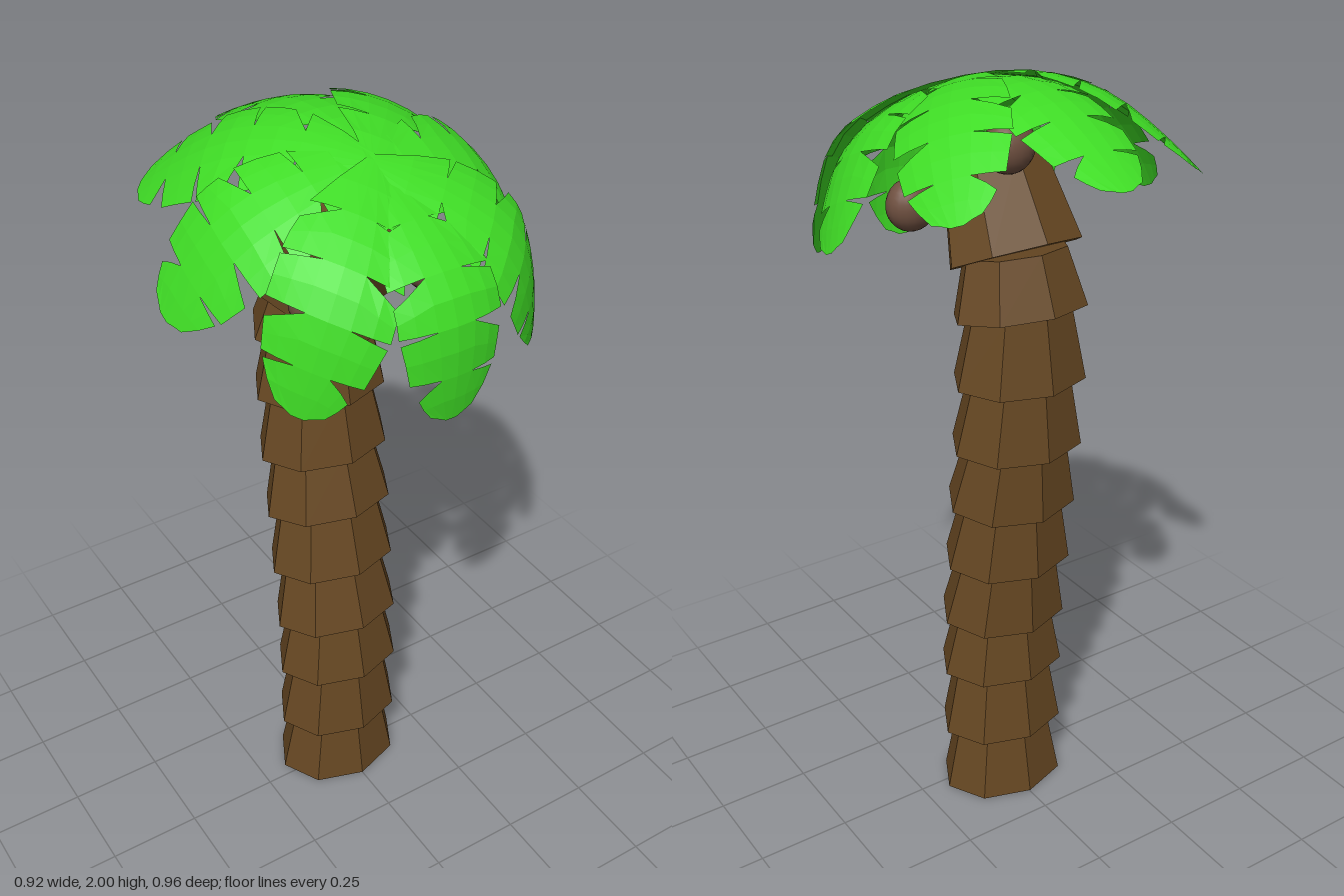
import * as THREE from 'three';

const leafGreen = new THREE.MeshStandardMaterial({ color: 0x3fdc25, side: THREE.DoubleSide });
leafGreen.name = 'leafGreen';
const barkBrown = new THREE.MeshStandardMaterial({ color: 0x664722 });
barkBrown.name = 'barkBrown';
const coconutBrown = new THREE.MeshStandardMaterial({ color: 0x6f5040 });
coconutBrown.name = 'coconutBrown';

function faceted(geometry) {
  const g = geometry.index ? geometry.toNonIndexed() : geometry;
  g.computeVertexNormals();
  return g;
}

// Trunk: flared, eight-sided rings stacked along a gently bent line of [y, z] points
function buildTrunk() {
  const trunk = new THREE.Group();
  trunk.name = 'trunk';
  const line = [[0, -0.032], [0.19, -0.03], [0.39, -0.03], [0.56, -0.037], [0.74, -0.058], [0.92, -0.076],
    [1.09, -0.098], [1.27, -0.11], [1.445, -0.112], [1.58, -0.09], [1.77, 0]];
  for (let i = 0; i < line.length - 1; i++) {
    const [y0, z0] = line[i], [y1, z1] = line[i + 1];
    const length = Math.hypot(y1 - y0, z1 - z0) + 0.01;
    const geometry = new THREE.CylinderGeometry(0.138, 0.18, length, 8);
    geometry.translate(0, length / 2, 0);
    geometry.scale(1, 1, 0.8);
    const ring = new THREE.Mesh(faceted(geometry), barkBrown);
    ring.name = 'trunkRing';
    ring.position.set(0, y0, z0);
    ring.rotation.x = Math.atan2(z1 - z0, y1 - y0);
    trunk.add(ring);
  }
  return trunk;
}

// Value at s on a polyline of [s, value] points
function sample(points, s) {
  for (let i = 1; i < points.length; i++) {
    const [a, va] = points[i - 1], [b, vb] = points[i];
    if (s <= b) return va + (vb - va) * (s - a) / (b - a);
  }
  return points[points.length - 1][1];
}

// Frond half width, and downward slope in degrees, by distance from the crown's middle
const outline = [[0, 0.02], [0.17, 0.115], [0.28, 0.145], [0.42, 0.15], [0.54, 0.125], [0.61, 0.085], [0.66, 0.045]];
const frontSlope = [[0, -4], [0.1, -2], [0.3, 16], [0.44, 59], [0.66, 78]];
const rearSlope = [[0, 6], [0.1, 12], [0.3, 34], [0.44, 48], [0.66, 56]];
const SIDE_RADIUS = 0.42;

// Point on a frond: s along it, v across it, lifted along its normal
function frondPoint(s, v, lift, frontness) {
  const slopeAt = (t) => THREE.MathUtils.degToRad(
    THREE.MathUtils.lerp(sample(rearSlope, t), sample(frontSlope, t), frontness));
  const steps = 12;
  let y = 0, z = 0;
  for (let i = 0; i < steps; i++) {
    const a = slopeAt(s * (i + 0.5) / steps);
    y -= Math.sin(a) * s / steps;
    z += Math.cos(a) * s / steps;
  }
  const a = slopeAt(s);
  const rise = lift - SIDE_RADIUS * (1 - Math.cos(v / SIDE_RADIUS));
  return [SIDE_RADIUS * Math.sin(v / SIDE_RADIUS), y + Math.cos(a) * rise, z + Math.sin(a) * rise];
}

// Frond: leaf bands joined along the middle, with slits cut in from both edges
function frondGeometry(index, frontness) {
  const bands = [0, 0.17, 0.3, 0.42, 0.54, 0.66];
  const across = [-1, -0.7, -0.35, 0, 0.35, 0.7, 1];
  const rows = 2;
  const positions = [];
  for (let k = 0; k < bands.length - 1; k++) {
    const at = (j, u) => {
      const side = (k + index) % 2 ? 1 : -1;
      const cut = Math.max(0, Math.abs(u) - 0.35) / 0.65;
      const start = bands[k] + (k === 0 ? 0 : (u * side > 0 ? 0.045 : 0.015) * cut);
      const end = bands[k + 1] - (k === bands.length - 2 ? 0.02 * cut : 0);
      const s = start + (end - start) * j / rows;
      const lift = (index % 2) * 0.006;
      return frondPoint(s, u * sample(outline, s), lift, frontness);
    };
    for (let j = 0; j < rows; j++) {
      for (let i = 0; i < across.length - 1; i++) {
        const a = at(j, across[i]), b = at(j, across[i + 1]);
        const c = at(j + 1, across[i + 1]), d = at(j + 1, across[i]);
        positions.push(...a, ...d, ...c, ...a, ...c, ...b);
      }
    }
  }
  const geometry = new THREE.BufferGeometry();
  geometry.setAttribute('position', new THREE.Float32BufferAttribute(positions, 3));
  return geometry;
}

// Crown: eight fronds round an axis leaning to the front
function buildCrown() {
  const crown = new THREE.Group();
  crown.name = 'crown';
  for (let i = 0; i < 8; i++) {
    const angle = i * Math.PI / 4;
    const geometry = frondGeometry(i, (1 + Math.cos(angle)) / 2);
    geometry.rotateY(angle);
    geometry.scale(0.9, 1, 1);
    const frond = new THREE.Mesh(faceted(geometry), leafGreen);
    frond.name = 'frond';
    crown.add(frond);
  }
  crown.rotation.x = 0.42;
  crown.position.set(0, 1.955, 0.12);
  return crown;
}

// Coconuts: one behind and a pair under the front
function buildCoconuts() {
  const coconuts = new THREE.Group();
  coconuts.name = 'coconuts';
  for (const [x, y, z] of [[0.155, 1.67, 0.13], [-0.155, 1.67, 0.13], [0.03, 1.85, -0.105]]) {
    const coconut = new THREE.Mesh(new THREE.SphereGeometry(0.066, 20, 14), coconutBrown);
    coconut.name = 'coconut';
    coconut.scale.set(1, 1, 0.8);
    coconut.position.set(x, y, z);
    coconuts.add(coconut);
  }
  return coconuts;
}

export function createModel() {
  const palm = new THREE.Group();
  palm.name = 'palmTree';
  palm.add(buildTrunk(), buildCrown(), buildCoconuts());
  return palm;
}
